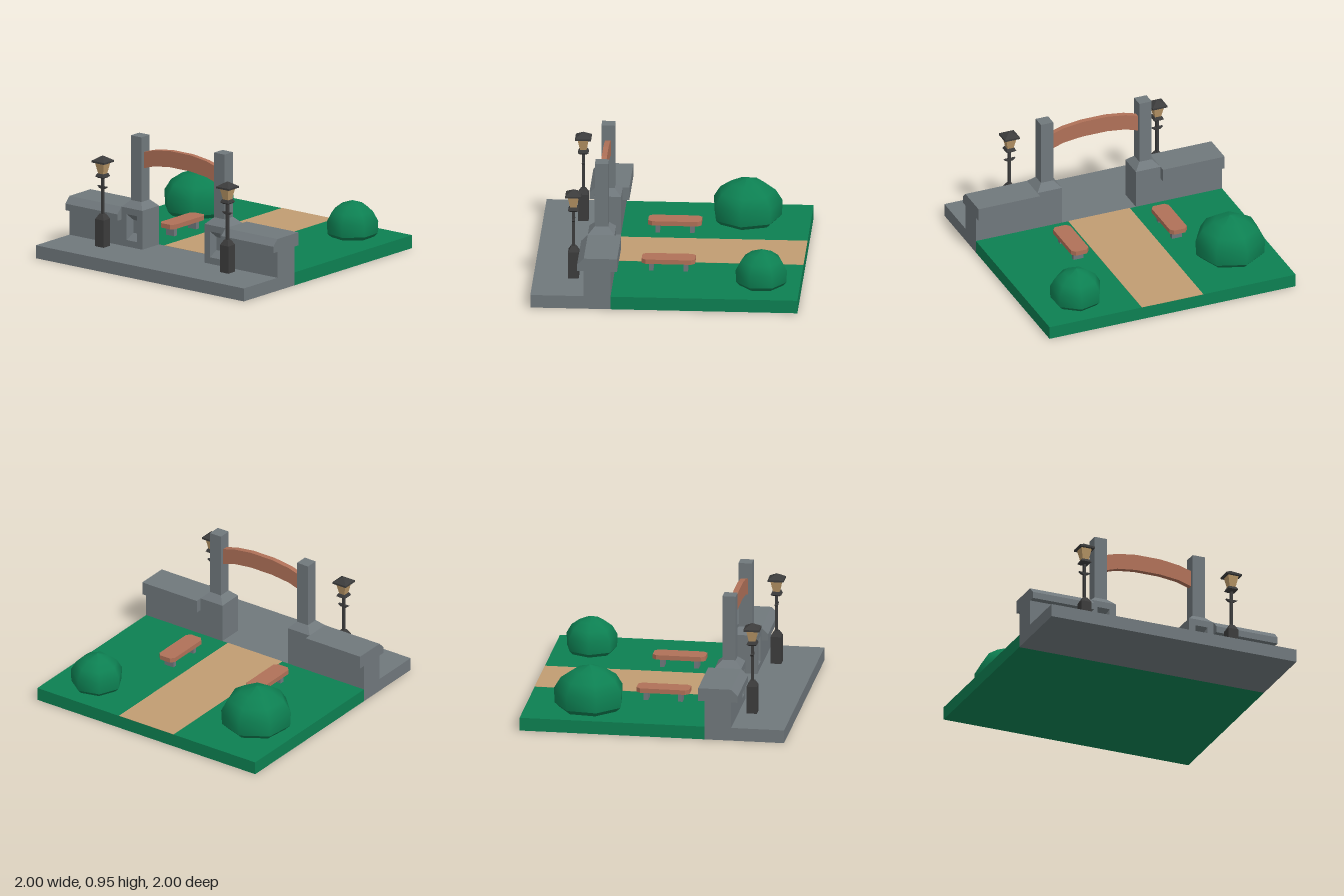
import * as THREE from 'three';

const mat = (name, color) => {
  const m = new THREE.MeshStandardMaterial({ color });
  m.name = name;
  return m;
};

// Separate the faces so every edge stays crisp
const crisp = (g) => {
  const out = g.index ? g.toNonIndexed() : g;
  out.computeVertexNormals();
  return out;
};

// Box between two corners
const block = (x0, x1, y0, y1, z0, z1) =>
  new THREE.BoxGeometry(x1 - x0, y1 - y0, z1 - z0)
    .translate((x0 + x1) / 2, (y0 + y1) / 2, (z0 + z1) / 2);

// Square tapered block given by half widths, standing on y0
const taper = (bottom, top, y0, y1, open = false) =>
  crisp(new THREE.CylinderGeometry(top * Math.SQRT2, bottom * Math.SQRT2, y1 - y0, 4, 1, open)
    .rotateY(Math.PI / 4).translate(0, (y0 + y1) / 2, 0));

const shapeOf = (pts) => new THREE.Shape(pts.map(([x, y]) => new THREE.Vector2(x, y)));
const extrude = (shape, depth) => new THREE.ExtrudeGeometry(shape, { depth, bevelEnabled: false });

export function createModel() {
  const root = new THREE.Group();
  root.name = 'parkGate';
  const stone = mat('stone', 0x70787c);
  const grass = mat('grass', 0x0d8052);
  const sand = mat('sand', 0xc19d72);
  const wood = mat('wood', 0xb07158);
  const iron = mat('iron', 0x3c3c3c);
  const glass = mat('lampGlass', 0xbd9a69);

  const add = (parent, name, geometry, material) => {
    const m = new THREE.Mesh(geometry, material);
    m.name = name;
    parent.add(m);
    return m;
  };
  const group = (name, x = 0, z = 0) => {
    const g = new THREE.Group();
    g.name = name;
    g.position.set(x, 0, z);
    root.add(g);
    return g;
  };

  // Ground
  add(root, 'pavement', block(-1, 1, 0, 0.1, 0.4, 1), stone);
  add(root, 'lawn', block(-1, 1, 0, 0.1, -1, 0.4), grass);
  add(root, 'path', block(-0.25, 0.25, 0.099, 0.102, -1, 0.4), sand);

  for (const s of [1, -1]) {
    const side = s > 0 ? 'left' : 'right';

    // Wall with an overhanging coping, chamfered at the front
    const wallShape = shapeOf([[0.4, 0.1], [0.6, 0.1], [0.6, 0.3], [0.65, 0.3], [0.65, 0.35],
      [0.6, 0.4], [0.35, 0.4], [0.35, 0.3], [0.4, 0.3]]);
    add(root, side + 'Wall',
      extrude(wallShape, 0.5).rotateY(-Math.PI / 2).translate(s > 0 ? 1 : -0.5, 0, 0), stone);

    // Gate pillar: plinth, niche, shoulder and shaft
    const pillar = group(side + 'Pillar', s * 0.4, 0.5);
    add(pillar, 'plinth', block(-0.1, 0.1, 0.1, 0.4, -0.1, 0.05), stone);
    const face = shapeOf([[-0.1, 0.1], [0.1, 0.1], [0.1, 0.4], [-0.1, 0.4]]);
    face.holes.push(shapeOf([[-0.05, 0.15], [-0.05, 0.35], [0.05, 0.35], [0.05, 0.15]]));
    add(pillar, 'plinthFace', extrude(face, 0.05).translate(0, 0, 0.05), stone);
    // Sloping niche sides, turned inside out to face the opening
    const niche = new THREE.CylinderGeometry(0.05 * Math.SQRT2, 0.025 * Math.SQRT2, 0.05, 4, 1, true)
      .rotateY(Math.PI / 4).rotateX(Math.PI / 2).scale(1, 2, 1).translate(0, 0.25, 0.075);
    niche.setIndex(Array.from(niche.index.array).reverse());
    add(pillar, 'niche', crisp(niche), stone);
    add(pillar, 'shoulder', taper(0.1, 0.05, 0.4, 0.45), stone);
    add(pillar, 'shaft', block(-0.05, 0.05, 0.45, 0.95, -0.05, 0.05), stone);

    // Street lamp
    const lamp = group(side + 'Lamp', s * 0.6, 0.7);
    add(lamp, 'lampBase', block(-0.04, 0.04, 0.1, 0.31, -0.04, 0.04), iron);
    add(lamp, 'lampBaseTop', taper(0.04, 0.018, 0.31, 0.35), iron);
    add(lamp, 'lampPole', block(-0.01, 0.01, 0.34, 0.64, -0.01, 0.01), iron);
    const bar = shapeOf([[-0.022, 0.545], [0.022, 0.545], [0.046, 0.562], [-0.046, 0.562]]);
    add(lamp, 'crossbar', extrude(bar, 0.02).translate(0, 0, -0.01), iron);
    add(lamp, 'collarBottom', taper(0.025, 0.04, 0.628, 0.64), iron);
    add(lamp, 'collarTop', taper(0.04, 0.03, 0.64, 0.662), iron);
    add(lamp, 'lantern', taper(0.024, 0.042, 0.66, 0.75), glass);
    add(lamp, 'lanternEaves', block(-0.06, 0.06, 0.748, 0.762, -0.06, 0.06), iron);
    add(lamp, 'lanternRoof', taper(0.06, 0.001, 0.762, 0.8), iron);

    // Bench with clipped corners
    const bench = group(side + 'Bench', s * 0.4, 0);
    const seat = shapeOf([[-0.07, -0.17], [-0.045, -0.2], [0.045, -0.2], [0.07, -0.17],
      [0.07, 0.17], [0.045, 0.2], [-0.045, 0.2], [-0.07, 0.17]]);
    add(bench, 'seat', extrude(seat, 0.035).rotateX(-Math.PI / 2).translate(0, 0.165, 0), wood);
    for (const z of [-0.13, 0.13]) {
      add(bench, 'benchLeg', block(-0.04, 0.04, 0.1, 0.165, z - 0.017, z + 0.017), stone);
    }
  }

  // Arched beam between the pillars
  const top = [[0.36, 0.828], [0.25, 0.86], [0.1, 0.88]];
  const bottom = [[0.1, 0.755], [0.25, 0.737], [0.36, 0.702]];
  const flip = (pts) => pts.map(([x, y]) => [-x, y]).reverse();
  const beam = shapeOf([...top, ...flip(top), ...flip(bottom), ...bottom]);
  add(root, 'archBeam', extrude(beam, 0.04).translate(0, 0, 0.48), wood);

  // Seven-sided bushes, rounded above a tucked-in foot
  const lathe = (pts, turn) =>
    new THREE.LatheGeometry(pts.map(([x, y]) => new THREE.Vector2(x, y)), 7, turn);
  const bush = (name, x, z, width, height, degrees) => {
    const g = group(name, x, z);
    const turn = THREE.MathUtils.degToRad(degrees);
    g.position.y = 0.1;
    g.scale.set(width, height, width);
    add(g, 'bushFoot', lathe([[0.225, 0], [0.262, 0.035]], turn), grass);
    add(g, 'bushCrown', lathe([[0.262, 0.035], [0.268, 0.15], [0.215, 0.235],
      [0.125, 0.295], [0, 0.335]], turn), grass);
  };
  bush('largeBush', -0.67, -0.52, 1, 1, 32);
  bush('smallBush', 0.66, -0.71, 0.736, 0.82, 15);

  return root;
}
